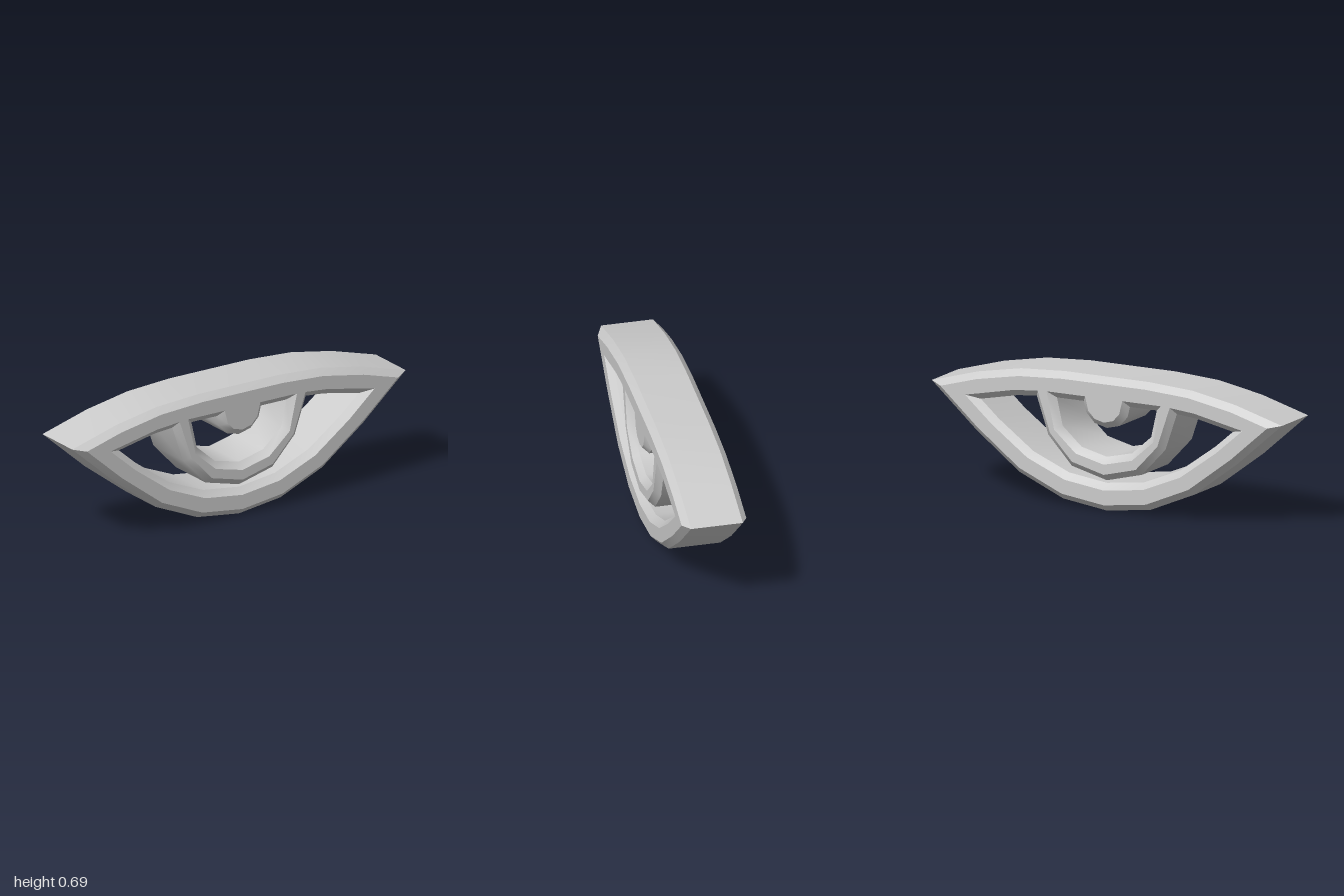
import * as THREE from 'three';
import { toCreasedNormals } from 'three/addons/utils/BufferGeometryUtils.js';

const HALF_DEPTH = 0.165;
const BEVEL = 0.033;

// Right halves of the outlines; each is mirrored across x = 0
const OUTER = [[0, 0], [0.25, 0.033], [0.5, 0.14], [0.745, 0.325], [1, 0.55], [0.735, 0.625], [0.49, 0.67], [0.24, 0.685]];
const HOLES = [
  // gap between the eyelids and the iris ring
  [[0, 0.142], [0.215, 0.17], [0.42, 0.255], [0.62, 0.4], [0.72, 0.487], [0.51, 0.53], [0.4, 0.54],
    [0.335, 0.35], [0.2, 0.206], [0, 0.155]],
  // gap between the iris ring and the pupil
  [[0, 0.275], [0.145, 0.31], [0.253, 0.405], [0.285, 0.545], [0.132, 0.545], [0.118, 0.49], [0.07, 0.44], [0, 0.422]],
];

// Full closed loop from a half; solid material lies on the left of travel
function mirrored(half, clockwise) {
  const other = half.filter(([x]) => x > 0).reverse().map(([x, y]) => [-x, y]);
  const loop = [...half, ...other].map(([x, y]) => new THREE.Vector2(x, y));
  return THREE.ShapeUtils.isClockWise(loop) === clockwise ? loop : loop.reverse();
}

// Mitred offset of a loop towards the solid side
function inset(loop, d) {
  const n = loop.length;
  const normal = (a, b) => new THREE.Vector2(a.y - b.y, b.x - a.x).normalize();
  return loop.map((p, i) => {
    const n1 = normal(loop[(i + n - 1) % n], p);
    const n2 = normal(p, loop[(i + 1) % n]);
    return n1.clone().add(n2).multiplyScalar(d / (1 + n1.dot(n2))).add(p);
  });
}

function bevelledPlate(loops) {
  const pos = [];
  const tri = (...pts) => pts.forEach(([p, z]) => pos.push(p.x, p.y, z));
  const faces = loops.map((loop) => inset(loop, BEVEL));

  // back bevel, wall and front bevel around every outline
  loops.forEach((loop, k) => {
    const rings = [
      [faces[k], -HALF_DEPTH], [loop, BEVEL - HALF_DEPTH],
      [loop, HALF_DEPTH - BEVEL], [faces[k], HALF_DEPTH],
    ];
    for (let r = 0; r < 3; r++) {
      const [lo, z0] = rings[r], [hi, z1] = rings[r + 1];
      for (let i = 0; i < loop.length; i++) {
        const j = (i + 1) % loop.length;
        tri([lo[i], z0], [lo[j], z0], [hi[j], z1]);
        tri([lo[i], z0], [hi[j], z1], [hi[i], z1]);
      }
    }
  });

  // flat front and back
  const flat = faces.flat();
  for (const [a, b, c] of THREE.ShapeUtils.triangulateShape(faces[0], faces.slice(1))) {
    tri([flat[a], HALF_DEPTH], [flat[b], HALF_DEPTH], [flat[c], HALF_DEPTH]);
    tri([flat[c], -HALF_DEPTH], [flat[b], -HALF_DEPTH], [flat[a], -HALF_DEPTH]);
  }

  const geometry = new THREE.BufferGeometry();
  geometry.setAttribute('position', new THREE.Float32BufferAttribute(pos, 3));
  return toCreasedNormals(geometry, 0.7);
}

export function createModel() {
  const group = new THREE.Group();
  group.name = 'eyeOrnament';

  // eyelids, iris ring and pupil are one solid bevelled plate
  const loops = [mirrored(OUTER, false), ...HOLES.map((h) => mirrored(h, true))];
  const eye = new THREE.Mesh(bevelledPlate(loops), new THREE.MeshStandardMaterial({ color: 0xcccccc }));
  eye.name = 'eyelidsIrisAndPupil';
  group.add(eye);
  return group;
}
